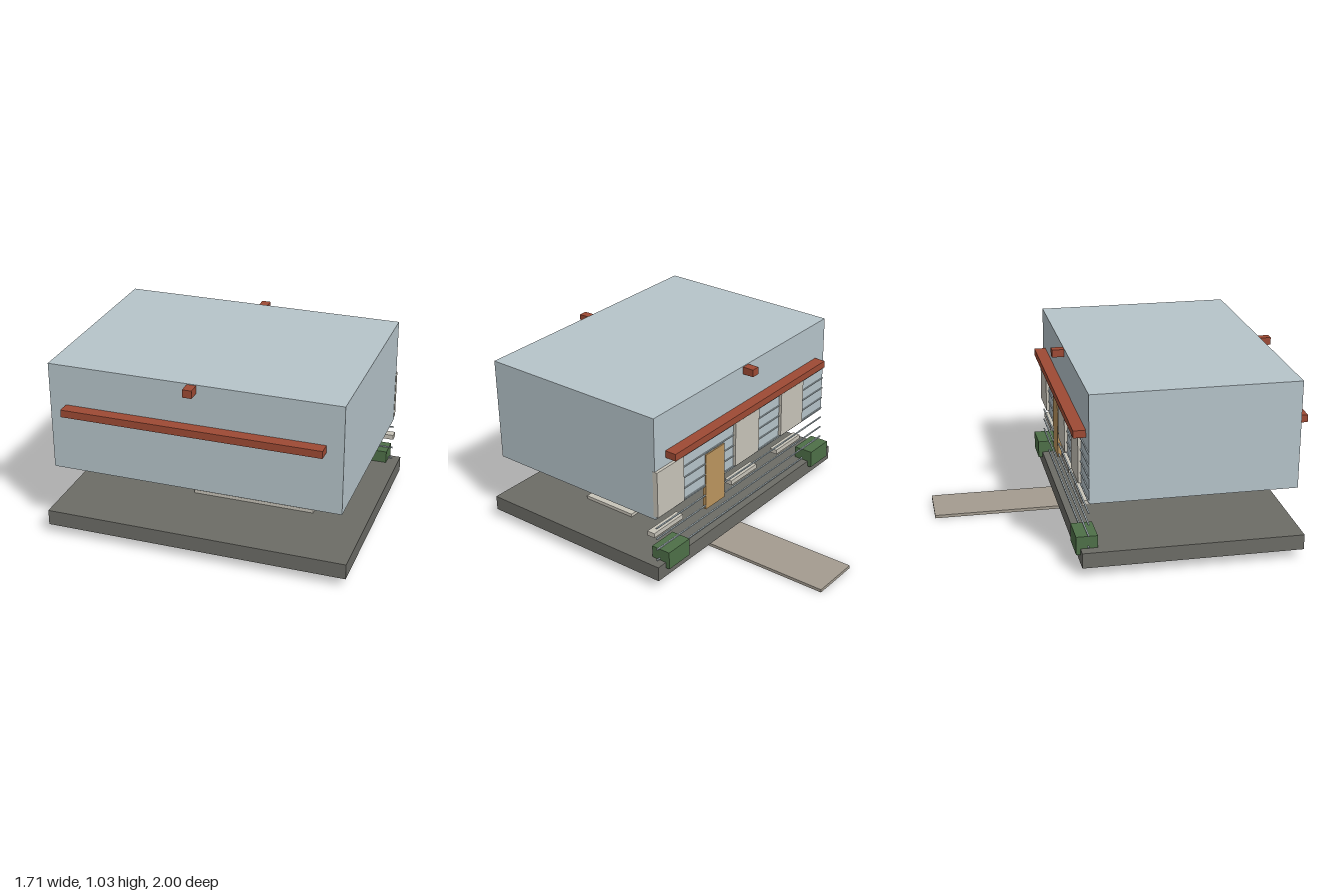
import * as THREE from 'three';

const mat = (name, color) => {
  const m = new THREE.MeshStandardMaterial({ color });
  m.name = name;
  return m;
};

export function createModel() {
  const wall = mat('paleBlueWall', 0xb6c4ca);
  const concrete = mat('darkConcrete', 0x6c6c66);
  const timber = mat('redTimber', 0x9e4a34);
  const trim = mat('lightTrim', 0xc8c4b9);
  const stone = mat('pathStone', 0xa49c90);
  const wood = mat('doorWood', 0xbb955f);
  const leaf = mat('hedgeGreen', 0x4e7048);

  const model = new THREE.Group();
  model.name = 'house';

  // Box given by its lower and upper limits on each axis
  const box = (name, material, x0, x1, y0, y1, z0, z1) => {
    const mesh = new THREE.Mesh(new THREE.BoxGeometry(x1 - x0, y1 - y0, z1 - z0), material);
    mesh.position.set((x0 + x1) / 2, (y0 + y1) / 2, (z0 + z1) / 2);
    mesh.name = name;
    model.add(mesh);
    return mesh;
  };

  // Ground works
  box('foundation', concrete, -0.857, 0.857, 0.055, 0.143, -0.273, 0.973);
  box('path', stone, 0.047, 0.342, 0, 0.018, -1, 0.064);
  box('step', stone, 0.037, 0.353, 0.042, 0.056, -0.01, 0.075);
  box('porchSlab', trim, -0.157, 0.547, 0.142, 0.162, 0.18, 0.525);

  // Raised body
  box('body', wall, -0.815, 0.815, 0.413, 1.03, -0.228, 0.932);

  // Timber beams and ridge ends on both long walls
  for (const [z0, z1] of [[0.93, 1.0], [-0.297, -0.226]]) {
    box('eaveBeam', timber, -0.724, 0.722, 0.758, 0.8, z0, z1);
    box('ridgeEnd', timber, -0.026, 0.025, 0.982, 1.026, z0, z1);
  }

  // Porch posts below the body
  for (const x of [-0.115, 0.505]) box('porchPost', trim, x - 0.013, x + 0.013, 0.322, 0.6, 0.187, 0.214);

  // Siding strips across the back
  for (let i = 0; i < 9; i++) {
    const y = 0.153 + i * 0.0685;
    box('sidingStrip', wall, -0.815, 0.815, y - 0.003, y + 0.003, -0.234, -0.226);
  }

  // Windows with separate sills
  for (const x of [-0.46, -0.002, 0.702]) {
    box('window', trim, x - 0.115, x + 0.115, 0.432, 0.711, -0.246, -0.215);
    box('windowSill', trim, x - 0.125, x + 0.125, 0.302, 0.33, -0.225, -0.177);
  }

  // Door with a dark inner panel
  box('door', wood, 0.206, 0.378, 0.268, 0.62, -0.236, -0.214);
  box('doorPanel', concrete, 0.243, 0.341, 0.345, 0.54, -0.216, -0.21);

  // Hedges at the back corners
  for (const x of [-0.706, 0.701]) box('hedge', leaf, x - 0.09, x + 0.09, 0.108, 0.214, -0.297, -0.177);

  return model;
}
